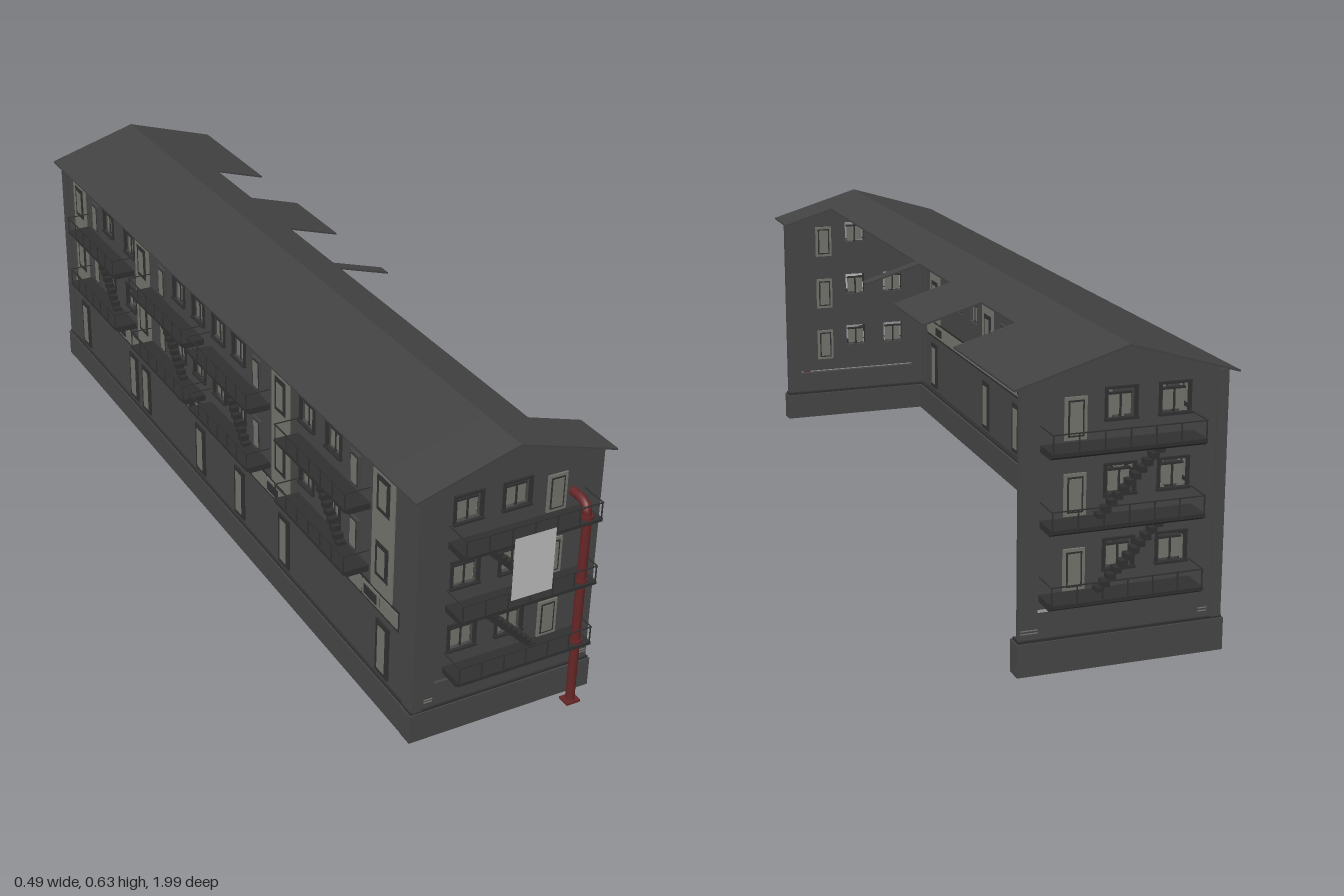
import * as THREE from 'three';

const mat = (name, color, side = THREE.FrontSide) => {
  const m = new THREE.MeshStandardMaterial({ color, side });
  m.name = name;
  return m;
};

export function createModel() {
  const wallM = mat('dark grey wall', 0x464646);
  const roofM = mat('roof grey', 0x424242);
  const trimM = mat('near black trim', 0x303030);
  const paleM = mat('pale stone and glass', 0x74746d);
  const signM = mat('light grey sign', 0xbcbcbc, THREE.DoubleSide);
  const pipeM = mat('rust red pipe', 0x662626);
  const root = new THREE.Group();
  root.name = 'building';
  const T = 0.014; // wall thickness

  const add = (parent, name, geo, m) => {
    const mesh = new THREE.Mesh(geo, m);
    mesh.name = name;
    parent.add(mesh);
    return mesh;
  };
  // box given by its minimum and maximum corners
  const box = (parent, name, m, x0, x1, y0, y1, z0, z1) => {
    const b = add(parent, name, new THREE.BoxGeometry(Math.abs(x1 - x0), y1 - y0, z1 - z0), m);
    b.position.set((x0 + x1) / 2, (y0 + y1) / 2, (z0 + z1) / 2);
    return b;
  };
  const group = (parent, name) => {
    const g = new THREE.Group();
    g.name = name;
    parent.add(g);
    return g;
  };
  // upright slab with rectangular holes; its outer face lies on local z = 0
  const wall = (parent, name, pts, holes) => {
    const s = new THREE.Shape(pts.map(p => new THREE.Vector2(...p)));
    for (const [x0, x1, y0, y1] of holes) {
      s.holes.push(new THREE.Path([[x0, y0], [x0, y1], [x1, y1], [x1, y0]].map(p => new THREE.Vector2(...p))));
    }
    add(parent, name, new THREE.ExtrudeGeometry(s, { depth: T, bevelEnabled: false }), wallM).position.z = -T;
  };

  // open window: dark surround, slatted head and a loose pair of panes
  const winHole = (u, y) => [u - 0.028, u + 0.028, y + 0.004, y + 0.06];
  const makeWindow = (parent, u, y) => {
    const g = group(parent, 'window');
    for (const s of [-1, 1]) {
      box(g, 'windowJamb', trimM, u + s * 0.03 - 0.003, u + s * 0.03 + 0.003, y, y + 0.063, -0.003, 0.004);
      box(g, 'windowPane', paleM, u + s * 0.0115 - 0.0095, u + s * 0.0115 + 0.0095, y + 0.008, y + 0.047, -0.008, -0.004);
    }
    box(g, 'windowSill', trimM, u - 0.034, u + 0.034, y - 0.001, y + 0.004, -0.003, 0.007);
    box(g, 'windowHead', trimM, u - 0.033, u + 0.033, y + 0.059, y + 0.064, -0.003, 0.005);
    box(g, 'windowMullion', trimM, u - 0.002, u + 0.002, y + 0.004, y + 0.049, -0.01, -0.002);
    box(g, 'windowBar', trimM, u - 0.023, u + 0.023, y + 0.047, y + 0.051, -0.01, -0.002);
  };
  // panelled door or tall narrow window, shown on both wall faces
  const makeDoor = (parent, name, u, y, w, h, frameM, innerM) => {
    const g = group(parent, name);
    const layer = (part, m, a, p) =>
      box(g, part, m, u - w / 2 + a, u + w / 2 - a, y + a, y + h - a, -T - p, p);
    layer('doorFrame', frameM, 0, 0.004);
    layer('doorReveal', trimM, w * 0.14, 0.005);
    layer('doorPanel', innerM, w * 0.22, 0.006);
  };
  // balcony slab with a light railing
  const balcony = (parent, u0, u1, y, depth) => {
    const g = group(parent, 'balcony');
    const p = new THREE.Shape();
    p.moveTo(0, 0); p.lineTo(depth - 0.012, 0); p.lineTo(depth, 0.007);
    p.lineTo(depth, 0.014); p.lineTo(0, 0.014);
    const slab = add(g, 'balconySlab',
      new THREE.ExtrudeGeometry(p, { depth: Math.abs(u1 - u0), bevelEnabled: false }), trimM);
    slab.rotation.y = -Math.PI / 2;
    slab.position.x = Math.max(u0, u1);
    const a = Math.min(u0, u1), b = Math.max(u0, u1), top = y + 0.05, r = 0.0012;
    slab.position.y = y;
    box(g, 'handrail', trimM, a, b, top - 0.002, top, depth - 0.003, depth);
    const n = 6;
    for (let i = 0; i <= n; i++) {
      const x = a + 0.002 + (b - a - 0.004) * i / n;
      box(g, 'railPost', trimM, x - r, x + r, y + 0.014, top, depth - 0.003, depth - 0.001);
    }
    for (const x of [a, b - 0.002]) box(g, 'sideRail', trimM, x, x + 0.002, top - 0.002, top, 0, depth);
  };
  // stair flight descending from (u0, y1) to (u1, y0)
  const stairs = (parent, u0, u1, y0, y1, z0, z1) => {
    const g = group(parent, 'stairFlight');
    const n = 11, du = (u1 - u0) / n, dy = (y1 - y0) / n;
    for (let i = 0; i < n; i++) {
      const u = u0 + du * i, y = y1 - dy * (i + 1);
      box(g, 'stairStep', trimM, u, u + du * 1.25, y - 0.004, y + dy * 0.7, z0, z1);
    }
  };

  // two gable ends; k mirrors the across axis so both share the same layout
  for (const [name, k, rot, z] of [['frontGable', 1, 0, 0.93], ['backGable', -1, Math.PI, -0.93]]) {
    const g = group(root, name);
    g.rotation.y = rot;
    g.position.z = z;
    const span = (a, b) => k > 0 ? [a, b] : [-b, -a];
    const floors = [0.192, 0.338, 0.484];
    const holes = [[...span(-0.14, 0.185), 0.123, 0.129]];
    for (const y of floors) for (const u of [-0.083, 0.025]) holes.push(winHole(u * k, y));
    wall(g, 'gableWall', [[-0.187, 0], [0.222, 0], [0.222, 0.566], [0.018, 0.627], [-0.187, 0.565]]
      .map(([x, y]) => [x * k, y]), holes);
    box(g, 'plinth', wallM, ...span(-0.196, 0.228), 0, 0.066, -0.03, 0.007);
    box(g, 'plinthLedge', trimM, ...span(-0.193, 0.225), 0.066, 0.071, -0.025, 0.004);
    box(g, 'cornerPilaster', wallM, ...span(-0.191, -0.178), 0.07, 0.562, -0.02, 0.004);
    for (const y of [0.083, 0.089]) {
      box(g, 'ventSlat', paleM, ...span(0.184, 0.219), y, y + 0.0015, 0, 0.002);
      box(g, 'ventSlat', paleM, ...span(-0.162, -0.143), y, y + 0.0015, 0, 0.002);
    }
    floors.forEach((y, i) => {
      for (const u of [-0.083, 0.025]) makeWindow(g, u * k, y);
      makeDoor(g, 'balconyDoor', 0.115 * k, y - 0.031, 0.044, 0.082, paleM, paleM);
      balcony(g, ...span(-0.123, 0.183), 0.145 + 0.145 * i, 0.062);
      if (i) stairs(g, -0.055 * k, 0.075 * k, 0.015 + 0.145 * i, 0.145 + 0.145 * i, 0.004, 0.026);
    });
  }

  // long side wall, local x runs along world z
  const side = group(root, 'longSide');
  side.rotation.y = -Math.PI / 2;
  side.position.x = -0.187;
  const winU = [0.595, 0.48, 0.155, 0.05, -0.06, -0.17, -0.47, -0.61];
  const rows = [0.335, 0.482];
  wall(side, 'longWall', [[-0.93, 0], [0.93, 0], [0.93, 0.564], [-0.93, 0.564]],
    rows.flatMap(y => winU.map(u => winHole(u, y))));
  box(side, 'longPlinth', wallM, -0.935, 0.935, 0, 0.066, -0.03, 0.008);
  box(side, 'longPlinthLedge', trimM, -0.932, 0.932, 0.066, 0.071, -0.025, 0.005);
  for (const s of [-1, 1]) box(side, 'endPilaster', wallM, s * 0.915 - 0.02, s * 0.915 + 0.02, 0.07, 0.562, -0.018, 0.004);
  // stone pilasters holding tall windows
  for (const u of [0.8, 0.36, -0.392, -0.81]) {
    box(side, 'stonePilaster', paleM, u - 0.042, u + 0.042, 0.27, 0.562, -T - 0.003, 0.003);
    for (const y of [0.305, 0.455]) makeDoor(side, 'tallWindow', u, y, 0.05, 0.08, trimM, paleM);
  }
  for (const y of rows) {
    for (const u of winU) makeWindow(side, u, y);
    for (const u of [0.685, 0.245, -0.27, -0.7]) makeDoor(side, 'narrowDoor', u, y - 0.028, 0.04, 0.078, wallM, paleM);
  }
  // panelled stone band between the storeys
  box(side, 'bandBacking', trimM, -0.87, 0.87, 0.222, 0.27, -T - 0.002, 0.002);
  for (let i = 0; i < 24; i++) {
    const u = -0.87 + 1.74 * (i + 0.5) / 24;
    box(side, 'bandPanel', paleM, u - 0.034, u + 0.034, 0.229, 0.264, -T - 0.004, 0.004);
    if (i % 3 === 1) box(side, 'bandVent', trimM, u - 0.025, u + 0.025, 0.236, 0.257, -T - 0.006, 0.006);
  }
  for (const u of [0.81, 0.375, 0.15, -0.065, -0.395, -0.475, -0.81]) {
    makeDoor(side, 'groundDoor', u, 0.08, 0.05, 0.125, trimM, paleM);
  }
  for (const [a, b] of [[-0.755, -0.45], [-0.345, -0.035], [0, 0.305], [0.44, 0.745]]) {
    for (const y of [0.29, 0.435]) balcony(side, a, b, y, 0.058);
    const m = (a + b) / 2;
    stairs(side, m - 0.065, m + 0.065, 0.304, 0.435, 0.005, 0.024);
  }

  // roof: strips along z whose right eave is cut back in places
  const roof = group(root, 'roof');
  const roofY = x => 0.63 - 0.3 * Math.abs(x - 0.018);
  const full = 0.242, cut = 0.115;
  for (const [z0, z1, xr] of [[-0.952, -0.61, full], [-0.61, -0.41, cut], [-0.41, -0.2, full],
    [-0.2, 0.02, cut], [0.02, 0.05, full], [0.05, 0.82, cut], [0.82, 0.943, full]]) {
    const top = [-0.205, 0.018, xr].map(x => new THREE.Vector2(x, roofY(x)));
    const under = top.map(p => new THREE.Vector2(p.x, p.y - 0.004)).reverse();
    const s = new THREE.Shape([...top, ...under]);
    add(roof, 'roofStrip', new THREE.ExtrudeGeometry(s, { depth: z1 - z0, bevelEnabled: false }), roofM).position.z = z0;
  }

  // blank board hung on the front railing
  add(root, 'signBoard', new THREE.PlaneGeometry(0.093, 0.14), signM).position.set(0.0285, 0.392, 0.995);

  // drainpipe with collars and a bend into the wall
  const pipe = group(root, 'drainpipe');
  const path = new THREE.CatmullRomCurve3([[0.015, 0.98], [0.2, 0.98], [0.455, 0.98], [0.475, 0.977], [0.483, 0.965], [0.485, 0.925]]
    .map(([y, z]) => new THREE.Vector3(0.154, y, z)));
  add(pipe, 'pipeTube', new THREE.TubeGeometry(path, 40, 0.0095, 14), pipeM);
  for (const y of [0.018, 0.165, 0.31, 0.455]) {
    add(pipe, 'pipeCollar', new THREE.CylinderGeometry(0.0125, 0.0125, 0.006, 16), pipeM).position.set(0.154, y, 0.98);
  }
  box(pipe, 'pipeFoot', pipeM, 0.138, 0.17, 0.015, 0.02, 0.966, 0.994);
  return root;
}
